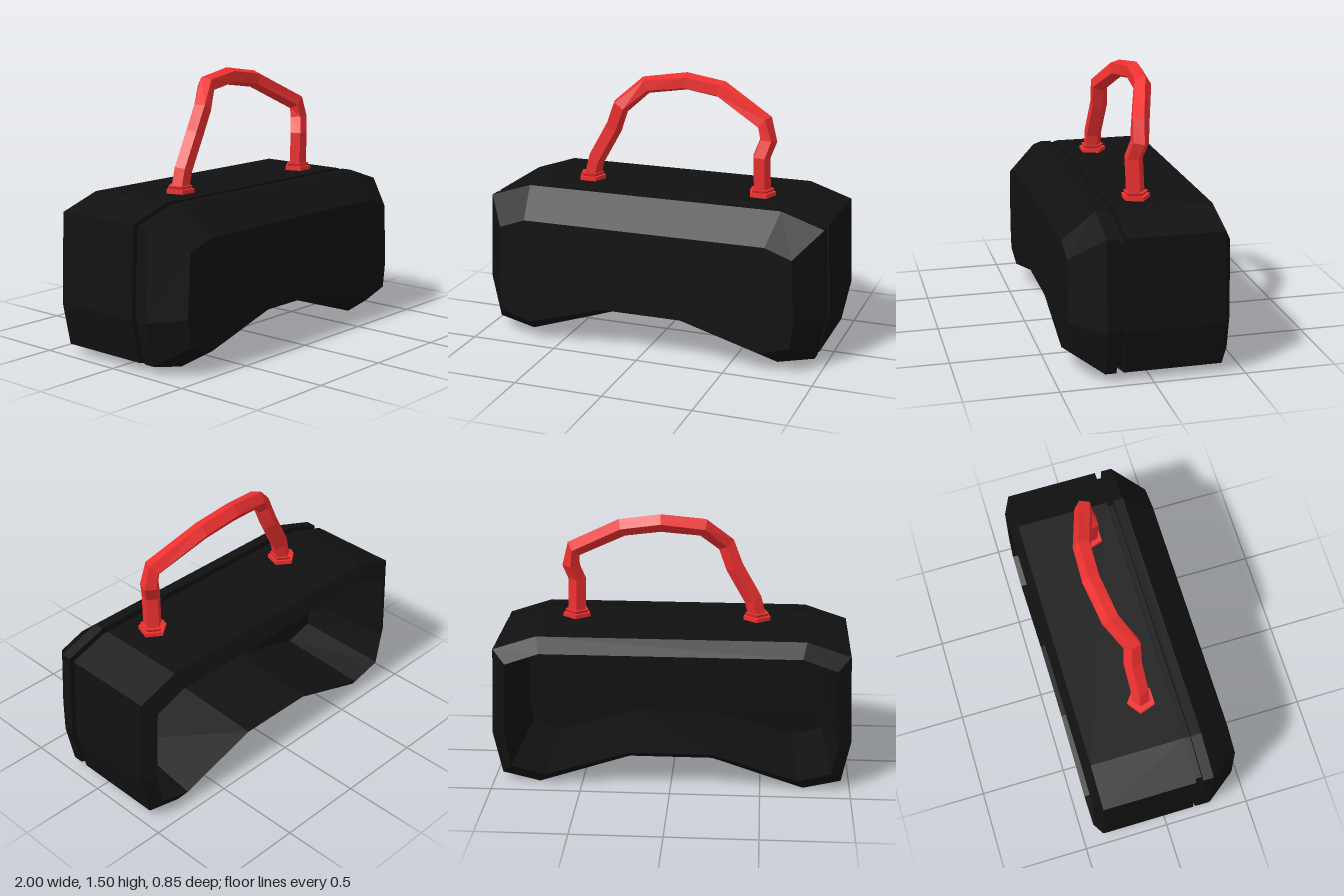
import * as THREE from 'three';

const black = new THREE.MeshStandardMaterial({ color: 0x111111, flatShading: true });
const red = new THREE.MeshStandardMaterial({ color: 0xee3030, flatShading: true });

// Right half outlines, bottom to top: full size and the smaller face
const fullHalf = [[0.23, 0.17], [0.74, 0], [0.95, 0.05], [1, 0.29], [0.98, 0.79], [0.74, 0.87]];
const faceHalf = [[0.23, 0.24], [0.68, 0.11], [0.85, 0.16], [0.87, 0.31], [0.85, 0.66], [0.7, 0.715]];

// Closed outline at depth z, blended by t from full size (0) to face size (1)
function outline(z, t) {
  const half = fullHalf.map(([x, y], i) => new THREE.Vector3(
    THREE.MathUtils.lerp(x, faceHalf[i][0], t), THREE.MathUtils.lerp(y, faceHalf[i][1], t), z));
  const mirrored = half.map(p => new THREE.Vector3(-p.x, p.y, p.z)).reverse();
  return [...half, ...mirrored];
}

// Skin between successive rings, plus any extra triangles
function loft(rings, extra = []) {
  const pts = [];
  for (let i = 0; i < rings.length - 1; i++) {
    const n = rings[i].length;
    for (let j = 0; j < n; j++) {
      const k = (j + 1) % n;
      const a = rings[i][j], b = rings[i][k], c = rings[i + 1][k], d = rings[i + 1][j];
      pts.push(a, d, c, a, c, b);
    }
  }
  const geo = new THREE.BufferGeometry().setFromPoints([...pts, ...extra]);
  geo.computeVertexNormals();
  return geo;
}

// Flat panel filling a ring
function cap(ring, flip) {
  const flat = ring.map(p => new THREE.Vector2(p.x, p.y));
  return THREE.ShapeUtils.triangulateShape(flat, [])
    .flatMap(f => (flip ? [f[0], f[2], f[1]] : f).map(i => ring[i]));
}

function mesh(name, geo, mat, parent) {
  const m = new THREE.Mesh(geo, mat);
  m.name = name;
  parent.add(m);
  return m;
}

export function createModel() {
  const model = new THREE.Group();
  model.name = 'headset';

  // Shell: front bevel, groove, back rim, then the hollow eye recess
  const sections = [
    [0.425, 1], [0.25, 0], [0.19, 0], [0.19, 0.22], [0.15, 0.22], [0.15, 0],
    [-0.38, 0], [-0.425, 0.55], [0.1, 1],
  ].map(([z, t]) => outline(z, t));
  const panels = [...cap(sections[0], false), ...cap(sections[sections.length - 1], true)];
  mesh('shell', loft(sections, panels), black, model);

  // Strap: five-sided bent tube
  const path = [
    [-0.47, 0.87, -0.01], [-0.44, 0.99, -0.01], [-0.335, 1.18, -0.02], [-0.285, 1.31, -0.01],
    [-0.16, 1.425, -0.09], [0.07, 1.455, -0.125], [0.28, 1.425, -0.115], [0.56, 1.275, -0.03],
    [0.58, 1.18, -0.025], [0.55, 1.09, 0], [0.555, 0.87, -0.01],
  ].map(p => new THREE.Vector3(...p));
  const zAxis = new THREE.Vector3(0, 0, 1);
  const rings = path.map((p, i) => {
    const before = path[Math.max(i - 1, 0)], after = path[Math.min(i + 1, path.length - 1)];
    const along = after.clone().sub(before).normalize();
    const side = along.clone().cross(zAxis).normalize();
    const depth = side.clone().cross(along);
    return Array.from({ length: 5 }, (_, j) => {
      const a = Math.PI + j * Math.PI * 2 / 5;
      return p.clone().addScaledVector(depth, 0.052 * Math.cos(a)).addScaledVector(side, -0.052 * Math.sin(a));
    });
  });
  mesh('strap', loft(rings), red, model);

  // Strap mounts: stepped pentagonal flanges
  for (const x of [-0.465, 0.555]) {
    const mount = new THREE.Group();
    mount.name = 'strapMount';
    mount.position.set(x, 0, -0.01);
    mesh('mountBase', new THREE.CylinderGeometry(0.08, 0.08, 0.025, 5, 1, false, Math.PI), red, mount).position.y = 0.88;
    mesh('mountCollar', new THREE.CylinderGeometry(0.07, 0.06, 0.02, 5, 1, false, Math.PI), red, mount).position.y = 0.9;
    model.add(mount);
  }
  return model;
}
